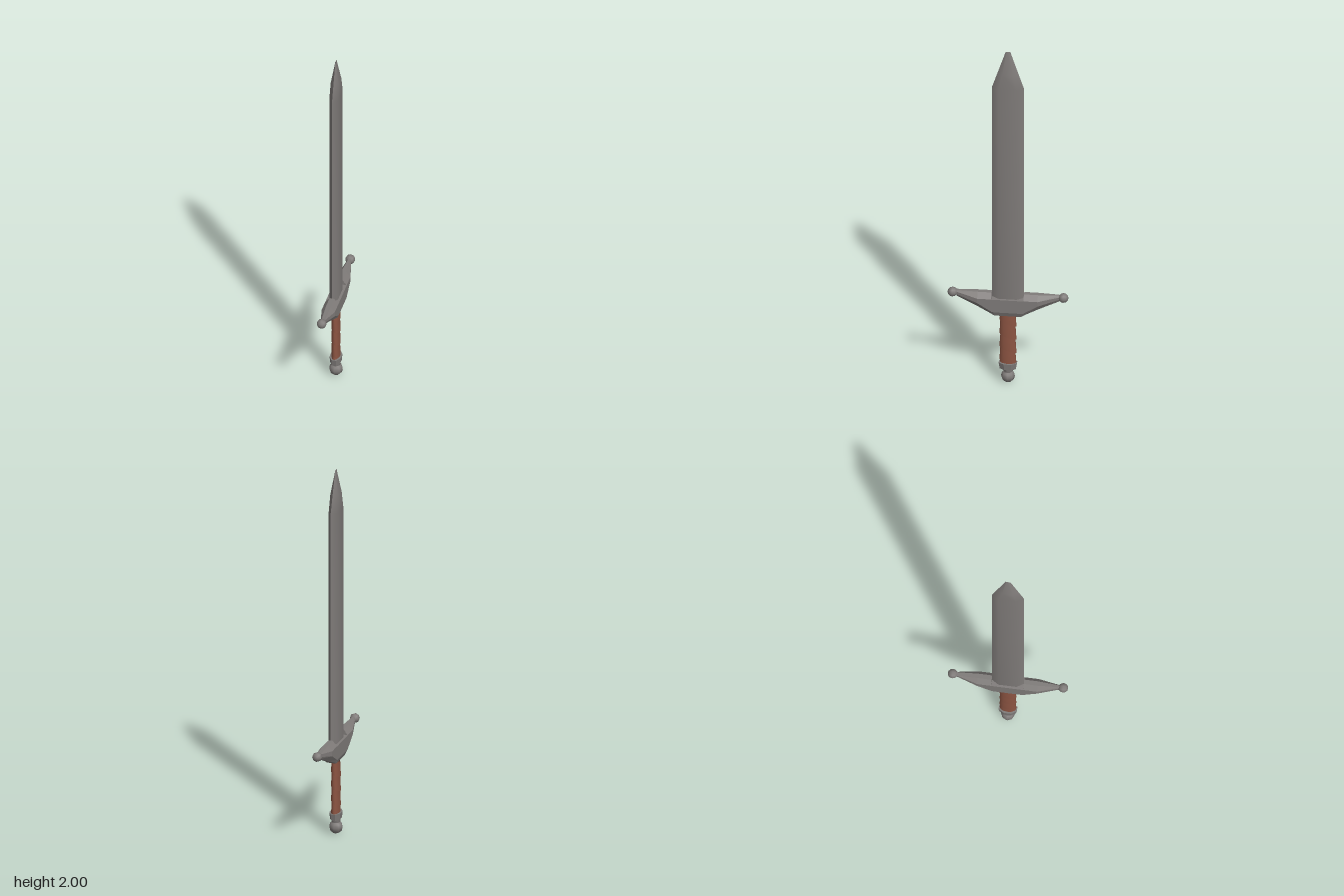
import * as THREE from 'three';

// Skin a grid of cross-sections; each row is a list of [x, y, z].
function loft(rows, closed = false, flat = false) {
  const n = rows[0].length, index = [];
  for (let r = 0; r < rows.length - 1; r++) {
    for (let i = 0; i < (closed ? n : n - 1); i++) {
      const a = r * n + i, b = r * n + (i + 1) % n;
      index.push(a, b, a + n, b, b + n, a + n);
    }
  }
  if (closed) {
    const last = (rows.length - 1) * n;
    for (let i = 1; i < n - 1; i++) index.push(0, i + 1, i, last, last + i, last + i + 1);
  }
  let g = new THREE.BufferGeometry();
  g.setAttribute('position', new THREE.Float32BufferAttribute(rows.flat(2), 3));
  g.setIndex(index);
  if (flat) g = g.toNonIndexed();
  g.computeVertexNormals();
  return g;
}

export function createModel() {
  const steel = new THREE.MeshStandardMaterial({ color: 0x7f7b79 });
  steel.name = 'steel';
  const leather = new THREE.MeshStandardMaterial({ color: 0x8a5341 });
  leather.name = 'leather';
  const darkSeam = new THREE.MeshStandardMaterial({ color: 0x5b3529 });
  darkSeam.name = 'dark leather';

  const group = new THREE.Group();
  const add = (name, geometry, material, x = 0, y = 0, z = 0) => {
    const mesh = new THREE.Mesh(geometry, material);
    mesh.name = name;
    mesh.position.set(x, y, z);
    group.add(mesh);
    return mesh;
  };

  // Blade: two smooth halves meeting at sharp cutting edges
  // section: y, edge z, flat z, half thickness
  const sections = [
    [0.5, 0.083, 0.047, 0.023],
    [1.78, 0.083, 0.047, 0.023],
    [1.87, 0.054, 0.028, 0.021],
    [2.0, 0.012, 0.006, 0.001],
  ];
  for (const s of [1, -1]) {
    const rows = sections.map(([y, e, f, t]) => [
      [0, y, s * e], [s * t, y, s * f], [s * t, y, -s * f], [0, y, -s * e],
    ]);
    add(s > 0 ? 'bladeLeftFace' : 'bladeRightFace', loft(rows), steel);
  }

  // Guard: faceted sections along z, raised arms either side of a flat seat
  // section: z, top y, top half width, shoulder y, half width, lower y, bottom y, bottom half width
  const arm = [
    [0.265, 0.54, 0.005, 0.532, 0.01, 0.518, 0.506, 0.005],
    [0.155, 0.54, 0.012, 0.512, 0.035, 0.485, 0.455, 0.015],
    [0.083, 0.54, 0.012, 0.512, 0.035, 0.438, 0.42, 0.025],
    [0.082, 0.512, 0.012, 0.511, 0.035, 0.437, 0.419, 0.025],
    [0.068, 0.512, 0.012, 0.511, 0.035, 0.435, 0.41, 0.025],
  ];
  const ring = ([z, ty, tw, sy, w, ly, by, bw], s) => [
    [tw, ty, s * z], [w, sy, s * z], [w, ly, s * z], [bw, by, s * z],
    [-bw, by, s * z], [-w, ly, s * z], [-w, sy, s * z], [-tw, ty, s * z],
  ];
  const guardRows = [
    ...arm.map((a) => ring(a, 1)),
    ...arm.slice().reverse().map((a) => ring(a, -1)),
  ];
  add('crossguard', loft(guardRows, true, true), steel);

  // Knobs on the guard tips
  for (const s of [1, -1]) {
    const knob = new THREE.SphereGeometry(0.026, 8, 6);
    knob.rotateX(Math.PI / 2);
    add(s > 0 ? 'frontKnob' : 'backKnob', knob, steel, 0, 0.525, s * 0.285);
  }

  // Grip core
  const core = add('gripCore', new THREE.CylinderGeometry(0.9, 0.9, 0.32, 12), darkSeam, 0, 0.26);
  core.scale.set(0.019, 1, 0.04);

  // Leather wrap: an overlapping strip wound down the grip
  const pitch = 0.08, steps = 12, turns = 4.5;
  const wrapTop = [], wrapBottom = [], wrapLip = [];
  for (let i = 0; i <= steps * turns; i++) {
    const t = (i / steps) * Math.PI * 2;
    const y = 0.455 - (i / steps) * pitch;
    const at = (rx, rz, h) => [Math.sin(t) * rx, THREE.MathUtils.clamp(h, 0.1, 0.42), Math.cos(t) * rz];
    wrapTop.push(at(0.019, 0.039, y));
    wrapBottom.push(at(0.022, 0.044, y - pitch));
    wrapLip.push(at(0.018, 0.038, y - pitch));
  }
  add('gripWrap', loft([wrapBottom, wrapTop]), leather);
  add('gripWrapEdge', loft([wrapLip, wrapBottom]), darkSeam);

  // Pommel: collar, neck and ball
  const collar = new THREE.CylinderGeometry(1, 0.88, 0.036, 8).toNonIndexed();
  collar.rotateY(Math.PI / 8);
  collar.scale(0.032, 1, 0.051);
  collar.computeVertexNormals();
  add('pommelCollar', collar, steel, 0, 0.1);
  add('pommelNeck', new THREE.CylinderGeometry(0.026, 0.022, 0.03, 8), steel, 0, 0.075);
  add('pommelBall', new THREE.SphereGeometry(0.036, 8, 6), steel, 0, 0.036);

  return group;
}
